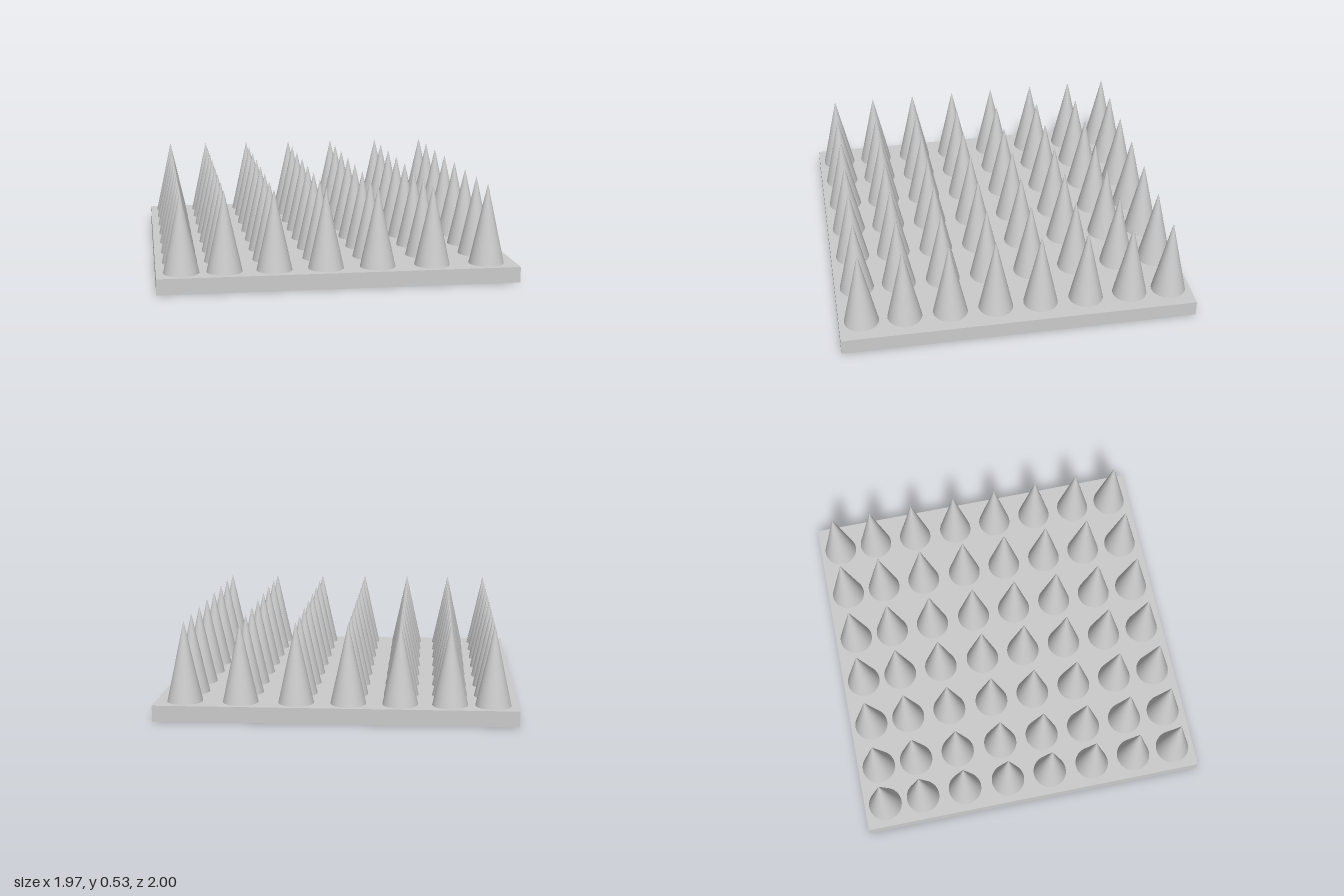
import * as THREE from 'three';

export function createModel() {
  const model = new THREE.Group();
  const material = new THREE.MeshStandardMaterial({ color: 0xcccccc });
  const plateHeight = 0.087;
  const spikeHeight = 0.443;
  const spikeRadius = 0.097;

  // Flat base plate
  const plate = new THREE.Mesh(new THREE.BoxGeometry(1.97, plateHeight, 2), material);
  plate.name = 'basePlate';
  plate.position.y = plateHeight / 2;
  model.add(plate);

  // Rows and columns of smooth spikes, unevenly spaced
  const columns = [-0.849, -0.617, -0.348, -0.067, 0.217, 0.52, 0.825];
  const rows = [-0.877, -0.65, -0.396, -0.135, 0.12, 0.377, 0.632, 0.873];
  const cone = new THREE.ConeGeometry(spikeRadius, spikeHeight, 48);
  const spikes = new THREE.Group();
  spikes.name = 'spikes';
  for (const z of rows) {
    for (const x of columns) {
      const spike = new THREE.Mesh(cone, material);
      spike.name = 'spike';
      spike.position.set(x, plateHeight + spikeHeight / 2, z);
      spikes.add(spike);
    }
  }
  model.add(spikes);
  return model;
}
